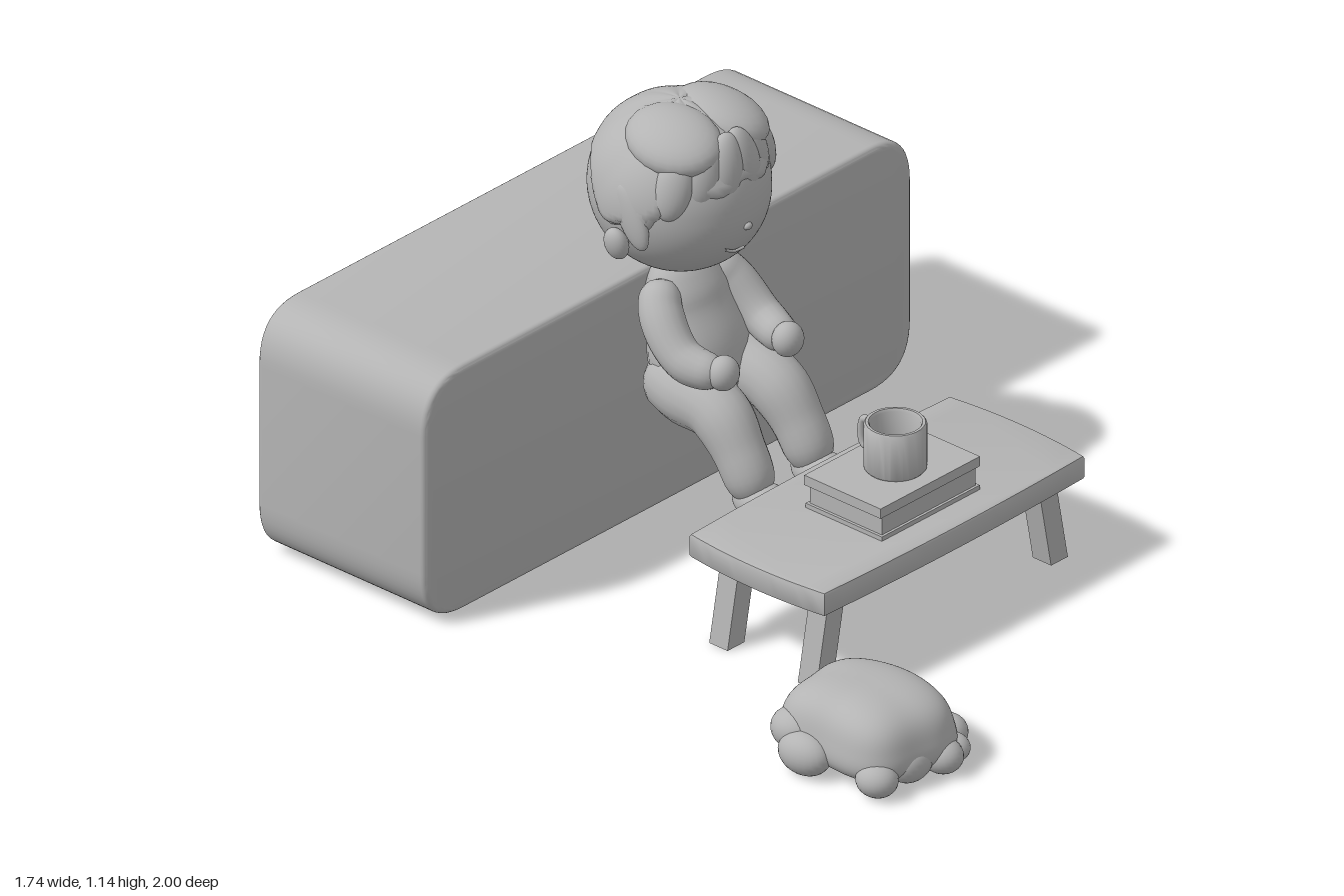
import * as THREE from 'three';
import { toCreasedNormals, mergeVertices } from 'three/addons/utils/BufferGeometryUtils.js';

const V = (x, y, z) => new THREE.Vector3(x, y, z);
const smooth = THREE.MathUtils.smoothstep;

// Tube whose radius follows a list, with rounded closed ends and an optional x stretch
function limbGeometry(points, radii, stretchX = 1) {
  const segs = 28, sides = 18;
  const curve = new THREE.CatmullRomCurve3(points.map(p => V(...p)));
  const geo = new THREE.TubeGeometry(curve, segs, 1, sides);
  const pos = geo.attributes.position, nor = geo.attributes.normal;
  const cap = 0.16;
  for (let k = 0; k < pos.count; k++) {
    const t = Math.floor(k / (sides + 1)) / segs;
    const f = t * (radii.length - 1), i = Math.min(Math.floor(f), radii.length - 2);
    let r = THREE.MathUtils.lerp(radii[i], radii[i + 1], smooth(f - i, 0, 1));
    const e = Math.min(1, Math.min(t, 1 - t) / cap);
    r *= Math.sqrt(Math.max(0, 1 - (1 - e) ** 2));
    const n = V(nor.getX(k), nor.getY(k), nor.getZ(k));
    const c = V(pos.getX(k), pos.getY(k), pos.getZ(k)).sub(n);
    c.addScaledVector(n, r);
    pos.setXYZ(k, c.x * stretchX, c.y, c.z);
  }
  geo.deleteAttribute('uv');
  geo.deleteAttribute('normal');
  const out = mergeVertices(geo, 1e-5);
  out.computeVertexNormals();
  return out;
}

// Unit sphere whose vertices are moved by a rule
function shapedSphere(rule) {
  const geo = new THREE.SphereGeometry(1, 80, 56);
  const pos = geo.attributes.position, v = V(0, 0, 0);
  for (let k = 0; k < pos.count; k++) {
    v.fromBufferAttribute(pos, k);
    rule(v);
    pos.setXYZ(k, v.x, v.y, v.z);
  }
  geo.deleteAttribute('uv');
  geo.deleteAttribute('normal');
  const out = mergeVertices(geo, 1e-5);
  out.computeVertexNormals();
  return out;
}

export function createModel() {
  const model = new THREE.Group();
  const clay = new THREE.MeshStandardMaterial({ color: 0xb4b4b4 });
  clay.name = 'clay grey';

  const add = (parent, name, geo, at = [0, 0, 0]) => {
    const mesh = new THREE.Mesh(geo, clay);
    mesh.name = name;
    mesh.position.set(...at);
    parent.add(mesh);
    return mesh;
  };
  const group = name => {
    const g = new THREE.Group();
    g.name = name;
    model.add(g);
    return g;
  };
  const ball = (parent, name, at, size, rot = [0, 0, 0]) => {
    const mesh = add(parent, name, new THREE.SphereGeometry(1, 24, 16), at);
    mesh.scale.set(...size);
    mesh.rotation.set(...rot);
    return mesh;
  };
  const box = (parent, name, size, at) => add(parent, name, new THREE.BoxGeometry(...size), at);

  // Couch block: rounded outline pushed back, with a small soft edge
  const w = 0.855, y0 = 0.025, y1 = 0.665, r = 0.13, outline = new THREE.Shape();
  outline.moveTo(-w + r, y0).lineTo(w - r, y0);
  outline.bezierCurveTo(w - 0.04, y0, w, y0 + 0.04, w, y0 + r).lineTo(w, y1 - r);
  outline.bezierCurveTo(w, y1 - 0.04, w - 0.04, y1, w - r, y1).lineTo(-w + r, y1);
  outline.bezierCurveTo(-w + 0.04, y1, -w, y1 - 0.04, -w, y1 - r).lineTo(-w, y0 + r);
  outline.bezierCurveTo(-w, y0 + 0.04, -w + 0.04, y0, -w + r, y0);
  const couch = new THREE.ExtrudeGeometry(outline, { depth: 0.52, bevelSize: 0.017, bevelThickness: 0.015, bevelSegments: 4, curveSegments: 12 });
  add(model, 'couch', toCreasedNormals(couch, 0.6), [0, 0, -0.985]);

  // Low table with bowed edges and splayed legs
  const table = group('table');
  const top = new THREE.Shape();
  top.moveTo(-0.457, -0.212).quadraticCurveTo(0, -0.232, 0.457, -0.212);
  top.quadraticCurveTo(0.487, 0, 0.457, 0.212).quadraticCurveTo(0, 0.232, -0.457, 0.212);
  top.quadraticCurveTo(-0.487, 0, -0.457, -0.212);
  const topGeo = new THREE.ExtrudeGeometry(top, { depth: 0.05, bevelSize: 0.009, bevelThickness: 0.008, bevelSegments: 2, curveSegments: 16 });
  topGeo.rotateX(-Math.PI / 2);
  add(table, 'tableTop', toCreasedNormals(topGeo, 0.5), [0, 0.236, 0.265]);
  for (const sx of [-1, 1]) for (const z of [0.125, 0.415]) {
    const leg = new THREE.BoxGeometry(0.06, 0.235, 0.06);
    const p = leg.attributes.position;
    for (let k = 0; k < p.count; k++) if (p.getY(k) < 0) p.setX(k, p.getX(k) + sx * 0.045);
    leg.computeVertexNormals();
    add(table, 'tableLeg', leg, [sx * 0.375, 0.1225, z]);
  }

  // Book lying on the table
  const book = group('book');
  box(book, 'bookBackCover', [0.35, 0.012, 0.25], [-0.005, 0.3, 0.288]);
  box(book, 'bookPages', [0.335, 0.054, 0.236], [-0.005, 0.331, 0.288]);
  box(book, 'bookFrontCover', [0.355, 0.027, 0.25], [-0.005, 0.37, 0.286]);

  // Mug with an open top and a handle at the back
  const mug = group('mug');
  const cup = [[0, 0], [0.072, 0], [0.077, 0.006], [0.077, 0.122], [0.073, 0.127], [0.066, 0.127], [0.062, 0.12], [0.062, 0.015], [0, 0.015]];
  add(mug, 'cup', toCreasedNormals(new THREE.LatheGeometry(cup.map(p => new THREE.Vector2(...p)), 32), 0.7), [-0.005, 0.383, 0.297]);
  const handle = new THREE.CatmullRomCurve3([V(0, 0.48, 0.23), V(0, 0.48, 0.195), V(0, 0.465, 0.187), V(0, 0.425, 0.187), V(0, 0.41, 0.195), V(0, 0.41, 0.23)]);
  add(mug, 'handle', new THREE.TubeGeometry(handle, 24, 0.01, 10), [-0.005, 0, 0]);

  // Seated figure: body and limbs
  const figure = group('figure');
  add(figure, 'torso', limbGeometry([[0, 0.73, -0.425], [0, 0.6, -0.39], [0, 0.47, -0.35], [0, 0.34, -0.33]], [0.055, 0.088, 0.105, 0.1], 1.4));
  for (const s of [-1, 1]) {
    const side = s > 0 ? 'left' : 'right';
    add(figure, side + 'Arm', limbGeometry([[s * 0.08, 0.675, -0.4], [s * 0.125, 0.61, -0.36], [s * 0.143, 0.525, -0.27], [s * 0.115, 0.505, -0.16]], [0.05, 0.056, 0.052, 0.044]));
    ball(figure, side + 'Hand', [s * 0.115, 0.515, -0.165], [0.042, 0.045, 0.038]);
    add(figure, side + 'Leg', limbGeometry([[s * 0.075, 0.43, -0.42], [s * 0.095, 0.41, -0.3], [s * 0.1, 0.39, -0.195], [s * 0.105, 0.3, -0.115], [s * 0.105, 0.19, -0.06]], [0.08, 0.086, 0.077, 0.066, 0.06]));
    const foot = shapedSphere(v => {
      v.y = v.y < 0 ? Math.max(v.y, -0.6) : v.y * (1 - 0.3 * v.z);
      v.set(v.x * 0.06, v.y * 0.052, v.z * 0.112);
    });
    add(figure, side + 'Foot', foot, [s * 0.105, 0.196, -0.022]);
  }

  // Head with ears, nose and mouth
  const head = group('head');
  head.position.set(0, 0.91, -0.415);
  add(head, 'skull', shapedSphere(v => {
    const cheek = 1 + 0.05 * Math.max(0, v.z) * Math.max(0, -v.y);
    v.set(v.x * 0.222 * cheek, v.y * 0.222, v.z * 0.226 * cheek);
  }));
  for (const s of [-1, 1]) ball(head, s > 0 ? 'leftEar' : 'rightEar', [s * 0.225, -0.085, 0.0], [0.026, 0.045, 0.034], [0, 0, s * -0.25]);
  ball(head, 'nose', [0, -0.045, 0.224], [0.013, 0.01, 0.01]);
  const smile = new THREE.CatmullRomCurve3([V(-0.06, -0.095, 0.204), V(-0.03, -0.108, 0.208), V(0, -0.108, 0.211)]);
  add(head, 'mouth', new THREE.TubeGeometry(smile, 10, 0.004, 6));

  // Hair cap: swells above a hairline that drops at the sides and rises behind
  add(head, 'hair', shapedSphere(v => {
    const a = Math.abs(Math.atan2(v.x, v.z));
    const line = 0.28 - 0.45 * smooth(a, 0.7, 1.45) + 0.6 * smooth(a, 1.6, 2.5) + 0.05 * Math.cos(a * 9);
    const swell = smooth(v.y, line - 0.06, line + 0.08);
    const lock = 0.014 * Math.abs(Math.sin(a * 3.2 + v.y * 2)) * swell;
    const s = 0.95 + 0.11 * swell + lock;
    v.set(v.x * 0.222 * s, v.y * 0.211 * s, v.z * 0.22 * s);
  }));

  // Fringe locks laid over the forehead, mirrored about the parting
  const locks = [[0.17, 0.115, 0.2], [0.52, 0.11, 0.19], [0.9, 0.085, 0.16], [1.25, 0.04, 0.12]];
  for (const s of [-1, 1]) for (const [a, y, z] of locks) {
    const out = a < 0.7 ? 0.182 : 0.198;
    ball(head, 'fringeLock', [s * Math.sin(a) * out, y, Math.cos(a) * out], [0.048, 0.085, 0.034], [-0.42 + z, s * a, s * 0.2, 'YXZ']);
  }
  for (const s of [-1, 1]) {
    ball(head, 'sideLock', [s * 0.215, 0.0, 0.04], [0.022, 0.09, 0.042], [-0.45, 0, 0]);
    ball(head, 'crownLock', [s * 0.085, 0.165, 0.06], [0.105, 0.062, 0.13], [0.15, 0, s * -0.25]);
  }

  // Lying pet: plump flat-topped body with paws, ears and tail round its edge
  const pet = group('pet');
  add(pet, 'petBody', shapedSphere(v => {
    const q = Math.pow(Math.abs(v.x) ** 3 + Math.abs(v.y) ** 3 + Math.abs(v.z) ** 3, 1 / 3);
    const ripple = 1 + 0.03 * Math.sin(Math.atan2(v.x, v.z) * 5);
    const flare = 1.03 - 0.15 * v.y;
    v.set(v.x / q * 0.165 * flare * ripple, v.y / q * 0.1, v.z / q * 0.195 * flare * ripple);
  }), [-0.6, 0.112, 0.755]);
  const lobes = [
    ['frontRightPaw', -0.735, 0.05, 0.905, 0.05, 0.045, 0.055], ['frontLeftPaw', -0.54, 0.05, 0.94, 0.05, 0.045, 0.055],
    ['chin', -0.63, 0.06, 0.92, 0.065, 0.05, 0.045], ['sideLeftPaw', -0.44, 0.05, 0.87, 0.045, 0.045, 0.05],
    ['hindLeftPaw', -0.43, 0.07, 0.73, 0.04, 0.05, 0.05], ['hindRightPaw', -0.77, 0.06, 0.70, 0.05, 0.055, 0.075],
    ['tail', -0.62, 0.06, 0.57, 0.055, 0.05, 0.062], ['rightEar', -0.73, 0.09, 0.64, 0.06, 0.055, 0.07],
    ['smallToe', -0.485, 0.045, 0.925, 0.04, 0.036, 0.045],
  ];
  for (const [name, x, y, z, a, b, c] of lobes) ball(pet, name, [x, y, z], [a, b, c]);

  return model;
}
